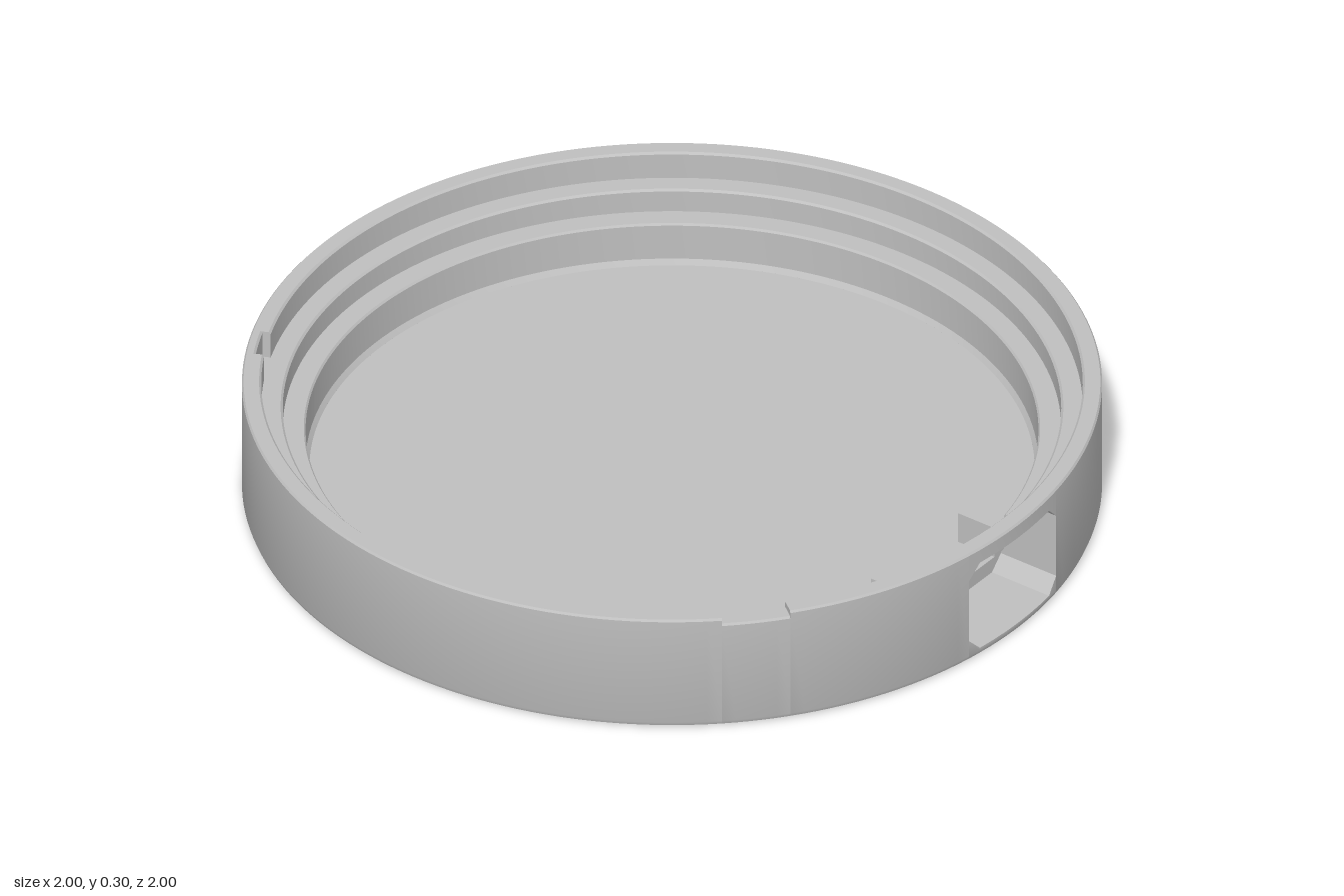
import * as THREE from 'three';
import { toCreasedNormals } from 'three/addons/utils/BufferGeometryUtils.js';

const PORT = 0.17;        // half width of the side opening
const FLOOR_R = 0.843;    // radius of the inner floor
const FLOOR_Y = 0.06;
const rad = THREE.MathUtils.degToRad;

// Closed solid from equal-length cross-sections; shape2D gives the (r, y) loop of a section.
function sweep(sections, firstLoop, lastLoop) {
  const pos = [];
  const tri = (a, b, c) => pos.push(...a, ...b, ...c);
  const n = sections[0].length;
  for (let i = 0; i < sections.length - 1; i++) {
    for (let j = 0; j < n; j++) {
      const k = (j + 1) % n;
      const a = sections[i][j], b = sections[i][k];
      const c = sections[i + 1][k], d = sections[i + 1][j];
      tri(a, b, c);
      tri(a, c, d);
    }
  }
  const cap = (loop, section, flip) => {
    const pts = loop.map(([r, y]) => new THREE.Vector2(r, y));
    for (const [a, b, c] of THREE.ShapeUtils.triangulateShape(pts, [])) {
      if (flip) tri(section[a], section[c], section[b]);
      else tri(section[a], section[b], section[c]);
    }
  };
  cap(firstLoop, sections[0], true);
  cap(lastLoop, sections[sections.length - 1], false);
  const g = new THREE.BufferGeometry();
  g.setAttribute('position', new THREE.Float32BufferAttribute(pos, 3));
  return toCreasedNormals(g, rad(28));
}

// Stepped wall profile: outer face, rim and two inner ledges
function wallProfile(top = 0.3, rim = 0.955) {
  return [
    [FLOOR_R, 0], [0.985, 0], [0.996, 0.005], [1, 0.015],
    [1, top - 0.005], [0.996, top], [rim + 0.005, top], [rim, top - 0.005],
    [rim, 0.23], [0.91, 0.23], [0.905, 0.225],
    [0.905, 0.17], [0.856, 0.17], [0.852, 0.165],
    [0.852, 0.073], [FLOOR_R, FLOOR_Y],
  ];
}

// Wall between two edges, each an angle that may depend on the radius
function wallSector(from, to, loop) {
  const steps = Math.max(3, Math.ceil((to(1) - from(1)) / rad(2)));
  const sections = [];
  for (let i = 0; i <= steps; i++) {
    sections.push(loop.map(([r, y]) => {
      const t = THREE.MathUtils.lerp(from(r), to(r), i / steps);
      return [r * Math.cos(t), y, r * Math.sin(t)];
    }));
  }
  return sweep(sections, loop, loop);
}

// Wall piece across the opening; its loop changes with z
function portPiece(loopAt) {
  const zs = [-PORT, -0.135, -0.09, -0.045, 0, 0.045, 0.09, 0.135, PORT];
  const sections = zs.map((z) =>
    loopAt(z).map(([r, y]) => [Math.sqrt(r * r - z * z), y, z]));
  return sweep(sections, loopAt(-PORT), loopAt(PORT));
}

export function createModel() {
  const group = new THREE.Group();
  group.name = 'roundCase';
  const grey = new THREE.MeshStandardMaterial({ color: 0xbfbfbf });
  grey.name = 'grey';
  const add = (name, geometry) => {
    const mesh = new THREE.Mesh(geometry, grey);
    mesh.name = name;
    group.add(mesh);
    return mesh;
  };

  // Floor plate, with a straight edge in front of the opening
  const edge = Math.asin(PORT / FLOOR_R);
  const disc = new THREE.Shape();
  disc.absarc(0, 0, FLOOR_R, edge, Math.PI * 2 - edge, false);
  disc.closePath();
  const floor = new THREE.ExtrudeGeometry(disc, {
    depth: FLOOR_Y, bevelEnabled: false, curveSegments: 90,
  });
  floor.rotateX(-Math.PI / 2);
  add('floor', floor);

  // Wall sectors around the case, with a rim notch and a pocket inside the rim
  const portStart = (r) => Math.asin(PORT / r);
  const portEnd = (r) => Math.PI * 2 - Math.asin(PORT / r);
  const at = (deg) => () => rad(deg);
  const plain = wallProfile();
  add('wallFrontLeft', wallSector(portStart, at(37.5), plain));
  add('rimNotch', wallSector(at(37.5), at(46.8), wallProfile(0.285)));
  add('wallFront', wallSector(at(46.8), at(150.2), plain));
  add('rimPocket', wallSector(at(150.2), at(155.8), wallProfile(0.3, 0.975)));
  add('wallBack', wallSector(at(155.8), portEnd, plain));

  // Bridge above and sill below the opening, with bevelled corners
  const bevel = (z) => Math.max(0, Math.abs(z) - 0.135);
  add('openingBridge', portPiece((z) => {
    const y = 0.26 - bevel(z);
    return [[0.955, y], [1, y], [1, 0.295], [0.996, 0.3], [0.96, 0.3], [0.955, 0.295]];
  }));
  const sillX = FLOOR_R * Math.cos(edge);
  add('openingSill', portPiece((z) => {
    const y = 0.022 + bevel(z);
    const inner = Math.hypot(sillX, z);
    return [[inner, 0], [0.985, 0], [0.996, 0.005], [1, 0.015], [1, y], [inner, y]];
  }));

  // Two stop blocks beside the opening
  for (const side of [-1, 1]) {
    const block = add(side > 0 ? 'frontStopBlock' : 'backStopBlock',
      new THREE.BoxGeometry(0.106, 0.085, 0.05));
    block.position.set(0.773, 0.0975, side * 0.17);
  }
  return group;
}
